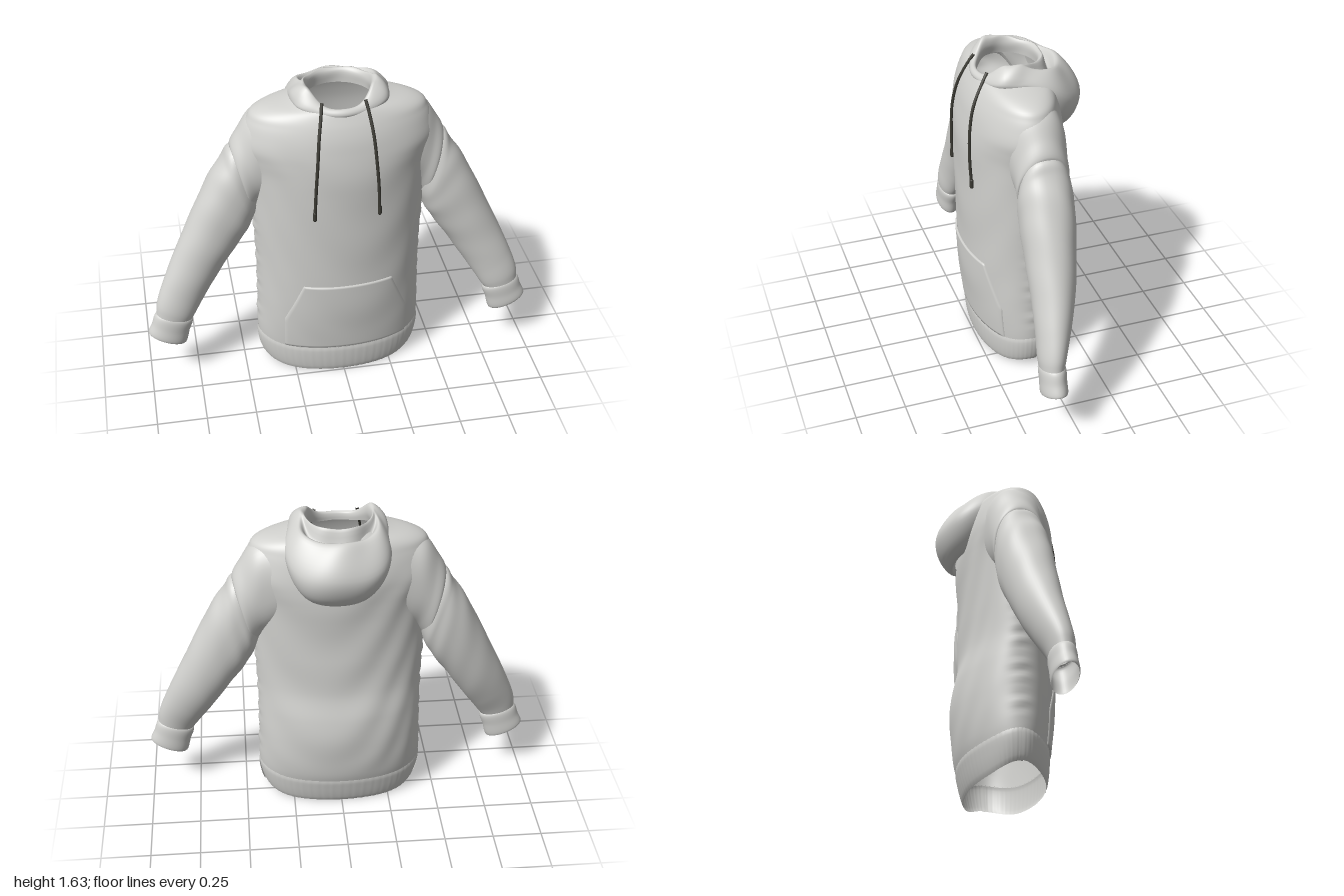
import * as THREE from 'three';

const fabric = new THREE.MeshStandardMaterial({ color: 0xd2d2cf, side: THREE.DoubleSide });
fabric.name = 'grey fabric';
const cordMat = new THREE.MeshStandardMaterial({ color: 0x3c3b34 });
cordMat.name = 'dark cord';

const { lerp, smoothstep, clamp } = THREE.MathUtils;
const TAU = Math.PI * 2;

// Smooth lookup in a table whose rows are [key, ...values]
function table(rows) {
  const n = rows[0].length - 1;
  const curve = new THREE.CubicInterpolant(rows.map(r => r[0]), rows.flatMap(r => r.slice(1)), n, new Float32Array(n));
  return k => [...curve.evaluate(k)];
}

// Surface through a grid of points; point(u, v) with u, v in 0..1
function loft(name, cols, rows, closed, point) {
  const pos = [], index = [], w = closed ? cols : cols + 1;
  for (let j = 0; j <= rows; j++)
    for (let i = 0; i < w; i++) pos.push(...point(i / cols, j / rows));
  for (let j = 0; j < rows; j++)
    for (let i = 0; i < cols; i++) {
      const a = j * w + i, b = j * w + (i + 1) % w;
      index.push(a, a + w, b, b, a + w, b + w);
    }
  const geo = new THREE.BufferGeometry();
  geo.setAttribute('position', new THREE.Float32BufferAttribute(pos, 3));
  geo.setIndex(index);
  geo.computeVertexNormals();
  const mesh = new THREE.Mesh(geo, fabric);
  mesh.name = name;
  return mesh;
}

// Body sections: height, half width, front z, back z
const bodySection = table([
  [0.00, 0.390, 0.238, -0.130], [0.10, 0.410, 0.246, -0.155], [0.20, 0.424, 0.258, -0.185],
  [0.40, 0.422, 0.280, -0.208], [0.55, 0.420, 0.288, -0.200], [0.70, 0.422, 0.292, -0.172],
  [0.90, 0.430, 0.296, -0.168], [1.10, 0.436, 0.299, -0.175], [1.20, 0.445, 0.298, -0.181],
  [1.27, 0.465, 0.292, -0.183], [1.33, 0.480, 0.283, -0.180], [1.40, 0.464, 0.268, -0.170],
  [1.46, 0.440, 0.247, -0.155], [1.50, 0.410, 0.228, -0.142], [1.525, 0.345, 0.215, -0.132],
  [1.545, 0.245, 0.203, -0.122], [1.57, 0.165, 0.190, -0.105],
]);
const MID_Z = 0.04;

function bodyPoint(t, y, out = 0) {
  const [hw, zf, zb] = bodySection(y);
  const c = Math.cos(t), s = Math.sin(t);
  const fade = smoothstep(y, 0.15, 0.35) * (1 - smoothstep(y, 1.25, 1.45));
  // Hanging folds on the back, soft drapes on the front, puckers along the side seams
  const fold = (s < 0 ? 0.003 : 0.0015) * Math.sin(17 * y - 11 * c * c + 4 * c) * Math.abs(s);
  const pucker = 0.0025 * Math.pow(Math.abs(c), 60) * (Math.sin(61 * y) + Math.sin(97 * y + 1));
  const d = out + fade * (fold + pucker);
  return [(hw + d) * c, y, MID_Z + ((s > 0 ? zf - MID_Z : MID_Z - zb) + d) * s];
}
const frontZ = (x, y) => bodyPoint(Math.acos(x / bodySection(y)[0]), y)[2];
const seamY = t => 0.155 + 0.04 * Math.pow(Math.abs(Math.cos(t)), 6);

// Body tube, cut lower at the front of the neck
function makeBody() {
  return loft('body', 128, 110, true, (u, v) => {
    const t = u * TAU, top = 1.57 - 0.035 * Math.max(0, Math.sin(t)) ** 6;
    return bodyPoint(t, lerp(seamY(t), top, 1 - Math.pow(1 - v, 1.5)));
  });
}

// Hem band in two panels, overlapping at the side slits
function makeHem(name, start, sideOut) {
  return loft(name, 90, 12, false, (u, v) => {
    const t = start - 0.06 + u * (Math.PI + 0.12);
    const low = 0.004 + 0.045 * Math.pow(Math.abs(Math.cos(t)), 6);
    const roll = 0.009 * Math.pow(Math.sin(Math.PI * v), 0.5) + 0.001 * Math.sin(t * 110);
    return bodyPoint(t, lerp(low, seamY(t) + 0.004, v), roll + sideOut * (1 - v) * Math.cos(t) ** 8);
  });
}

// Arm sections: position, outer x, outer y, inner x, inner y, front z, back z
const shoulderSection = table([
  [0.00, 0.340, 1.515, 0.300, 1.050, 0.180, -0.120], [0.35, 0.425, 1.475, 0.350, 1.020, 0.168, -0.114],
  [0.70, 0.485, 1.390, 0.390, 0.980, 0.156, -0.106], [0.95, 0.528, 1.305, 0.418, 0.940, 0.153, -0.102],
  [1.00, 0.522, 1.290, 0.418, 0.930, 0.146, -0.096],
]);
const sleeveSection = table([
  [0.00, 0.505, 1.310, 0.405, 0.960, 0.140, -0.085], [0.04, 0.535, 1.295, 0.418, 0.925, 0.152, -0.098],
  [0.12, 0.565, 1.248, 0.436, 0.882, 0.160, -0.102], [0.30, 0.642, 1.130, 0.485, 0.795, 0.164, -0.098],
  [0.47, 0.728, 0.960, 0.560, 0.685, 0.165, -0.076], [0.65, 0.820, 0.765, 0.640, 0.560, 0.166, -0.042],
  [0.83, 0.900, 0.585, 0.712, 0.450, 0.172, 0.008], [0.95, 0.944, 0.460, 0.755, 0.382, 0.177, 0.045],
  [1.00, 0.950, 0.405, 0.772, 0.358, 0.174, 0.057],
]);
const cuffSection = table([
  [0.00, 0.944, 0.410, 0.780, 0.365, 0.170, 0.060], [0.10, 0.955, 0.402, 0.768, 0.354, 0.176, 0.054],
  [0.50, 0.976, 0.346, 0.788, 0.284, 0.178, 0.054], [0.95, 0.998, 0.292, 0.808, 0.214, 0.178, 0.056],
  [1.00, 0.996, 0.288, 0.812, 0.211, 0.175, 0.058],
]);

const squash = (k, e) => Math.sign(k) * Math.pow(Math.abs(k), e);

function makeTube(name, section, rows, side, foldSize, fullness) {
  return loft(name, 48, rows, true, (u, v) => {
    const [ox, oy, ix, iy, zf, zb] = section(v);
    const a = u * TAU, power = lerp(fullness, 1, smoothstep(v, 0.2, 0.7));
    // Folds gather under the shoulder and fade down the arm
    const fold = 1 + foldSize * Math.sin(30 * v + 3 * a) * (1 - v);
    const c = squash(Math.cos(a), power) * fold / 2, s = squash(Math.sin(a), power) * fold / 2;
    return [side * ((ox + ix) / 2 + (ox - ix) * c), (oy + iy) / 2 + (oy - iy) * c, (zf + zb) / 2 + (zf - zb) * s];
  });
}

// Hood cross-sections as [distance out from the neck edge, height]
const hoodFront = [[0.00, 1.505], [0.000, 1.525], [0.004, 1.540], [0.010, 1.545], [0.018, 1.545], [0.026, 1.540], [0.033, 1.530], [0.034, 1.518], [0.022, 1.500]];
const hoodSide = [[0.01, 1.53], [0.000, 1.580], [0.008, 1.618], [0.020, 1.626], [0.034, 1.620], [0.060, 1.598], [0.080, 1.570], [0.086, 1.545], [0.060, 1.51]];
const hoodBack = [[0.00, 1.53], [0.000, 1.590], [0.018, 1.605], [0.050, 1.520], [0.088, 1.567], [0.142, 1.522], [0.199, 1.410], [0.172, 1.305], [0.115, 1.248]];
const hoodRings = [hoodFront, hoodSide, hoodBack].map(ps =>
  new THREE.CatmullRomCurve3([...ps, [ps[8][0] - 0.02, ps[8][1] + 0.03]].map(([r, y]) => new THREE.Vector3(r, y, 0))));

function makeHood() {
  return loft('hood', 96, 44, true, (u, v) => {
    const a = u * TAU, back = (1 - Math.cos(a)) / 2;
    const [f, s, b] = hoodRings.map(c => c.getPoint(v));
    const p = f.lerp(s, smoothstep(back, 0, 0.32)).lerp(b, smoothstep(back, 0.5, 1));
    // Soft rumples, strongest at the shoulders and rim
    const rumple = 0.004 * Math.sin(7 * a + 9 * v) * Math.sin(Math.PI * v) * smoothstep(back, 0.1, 0.4);
    const r = p.x + rumple;
    return [(0.155 + r) * Math.sin(a) + 0.025 * back * v, p.y + rumple, 0.045 + (0.145 + r) * Math.cos(a)];
  });
}

// Pocket with slanted hand openings and a crisp raised edge, lying on the front of the body
const pocketEdge = y => y < 0.35
  ? [-0.304, 0.333]
  : [lerp(-0.304, -0.21, (y - 0.35) / 0.23), lerp(0.333, 0.24, (y - 0.35) / 0.23)];
function makePocket() {
  const inset = k => clamp((k * 40 - 1) / 38, 0, 1);
  return loft('pocket', 40, 40, false, (u, v) => {
    const y = lerp(0.172, 0.58, inset(v)), [l, r] = pocketEdge(y), x = lerp(l, r, inset(u));
    const rim = Math.min(u, 1 - u, v, 1 - v) === 0;
    return [x, y, frontZ(x, y) + (rim ? 0.001 : 0.010)];
  });
}

function makeCord(name, xs) {
  const ys = [1.575, 1.53, 1.42, 1.3, 1.15, 1.0];
  const points = ys.map((y, i) => new THREE.Vector3(xs[i], y, i === 0 ? 0.180 : frontZ(xs[i], y) + 0.006));
  const group = new THREE.Group();
  group.name = name;
  const cord = new THREE.Mesh(new THREE.TubeGeometry(new THREE.CatmullRomCurve3(points), 48, 0.008, 8), cordMat);
  cord.name = name + ' string';
  const tip = new THREE.Mesh(new THREE.CapsuleGeometry(0.01, 0.035, 4, 10), cordMat);
  tip.name = name + ' tip';
  tip.position.copy(points[5]).y += 0.016;
  group.add(cord, tip);
  return group;
}

export function createModel() {
  const model = new THREE.Group();
  model.name = 'hooded sweatshirt';
  model.add(makeBody(), makeHem('front hem', 0, 0), makeHem('back hem', Math.PI, -0.012), makeHood(), makePocket());
  for (const [label, side] of [['left', 1], ['right', -1]]) {
    model.add(makeTube(label + ' dropped shoulder', shoulderSection, 24, side, 0, 0.85));
    model.add(makeTube(label + ' sleeve', sleeveSection, 70, side, 0.012, 0.85));
    model.add(makeTube(label + ' cuff', cuffSection, 16, side, 0, 1));
  }
  model.add(makeCord('left drawcord', [0.108, 0.118, 0.135, 0.146, 0.158, 0.165]));
  model.add(makeCord('right drawcord', [-0.10, -0.108, -0.127, -0.138, -0.148, -0.155]));
  return model;
}
